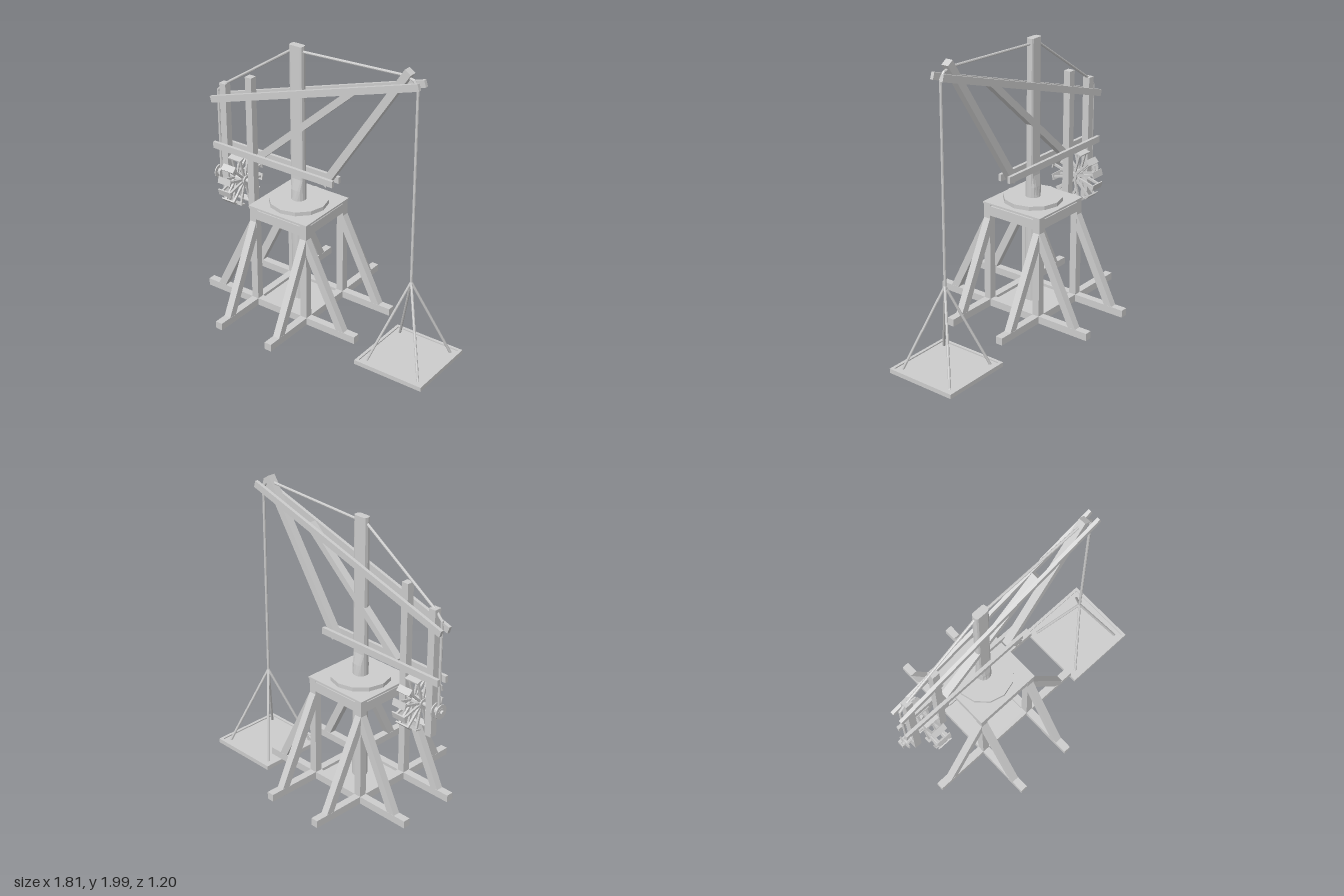
import * as THREE from 'three';

const V = (x, y, z = 0) => new THREE.Vector3(x, y, z);

export function createModel() {
  const root = new THREE.Group();
  root.name = 'mastCrane';
  const mat = new THREE.MeshStandardMaterial({ color: 0xcccccc, flatShading: true });

  const group = (name, parent = root) => {
    const g = new THREE.Group();
    g.name = name;
    parent.add(g);
    return g;
  };
  const add = (name, geo, parent) => {
    const m = new THREE.Mesh(geo, mat);
    m.name = name;
    parent.add(m);
    return m;
  };
  // Box given by its extents
  const block = (name, parent, x0, x1, y0, y1, z0, z1) => {
    const m = add(name, new THREE.BoxGeometry(x1 - x0, y1 - y0, z1 - z0), parent);
    m.position.set((x0 + x1) / 2, (y0 + y1) / 2, (z0 + z1) / 2);
    return m;
  };
  // Square-ended timber between two points lying in a plane of constant z
  const beam = (name, parent, a, b, height, depth) => {
    const d = b.clone().sub(a);
    const m = add(name, new THREE.BoxGeometry(d.length(), height, depth), parent);
    m.position.copy(a).add(b).multiplyScalar(0.5);
    m.rotation.z = Math.atan2(d.y, d.x);
    return m;
  };
  // Round bar between two points
  const rod = (name, parent, a, b, r, sides = 8) => {
    const d = b.clone().sub(a);
    const m = add(name, new THREE.CylinderGeometry(r, r, d.length(), sides), parent);
    m.position.copy(a).add(b).multiplyScalar(0.5);
    m.quaternion.setFromUnitVectors(V(0, 1, 0), d.normalize());
    return m;
  };

  // Trestle base, four-fold symmetric about the mast
  const base = group('base');
  base.position.x = -0.22;
  for (let i = 0; i < 4; i++) {
    const side = group('baseSide', base);
    side.rotation.y = (i * Math.PI) / 2;
    block('groundBeam', side, -0.6, 0.6, 0.13, 0.18, 0.175, 0.225);
    block('cornerPost', side, 0.175, 0.225, 0.13, 0.86, 0.175, 0.225);
    block('topRail', side, -0.224, 0.224, 0.78, 0.845, 0.175, 0.224);
    for (const s of [-1, 1]) {
      beam('diagonalStrut', side, V(s * 0.495, 0.16, 0.2), V(s * 0.2, 0.75, 0.2), 0.052, 0.048);
    }
  }
  block('footPlate', base, -0.18, 0.18, 0.14, 0.16, -0.18, 0.18);
  block('topPlate', base, -0.23, 0.23, 0.855, 0.868, -0.23, 0.23);
  add('turntable', new THREE.CylinderGeometry(0.195, 0.195, 0.03, 12), base).position.y = 0.88;

  // Mast: round below, flattened on two sides where the beams clasp it
  const mastGeo = new THREE.CylinderGeometry(0.05, 0.05, 1.815, 16, 24);
  mastGeo.translate(0, 1.0425, 0);
  const p = mastGeo.attributes.position;
  for (let i = 0; i < p.count; i++) {
    const t = THREE.MathUtils.clamp((p.getY(i) - 0.92) / 0.13, 0, 1);
    const lim = THREE.MathUtils.lerp(0.05, 0.025, t);
    p.setZ(i, THREE.MathUtils.clamp(p.getZ(i), -lim, lim));
  }
  mastGeo.computeVertexNormals();
  add('mast', mastGeo, root).position.x = -0.22;

  // Swinging jib: paired beams clasping the central braces and posts
  const jib = group('jib');
  for (const z of [-0.036, 0.036]) {
    beam('jibBeam', jib, V(-0.895, 1.425, z), V(0.68, 1.915, z), 0.045, 0.022);
    beam('lowerBeam', jib, V(-0.89, 1.1, z), V(0.075, 1.1, z), 0.045, 0.022);
  }
  beam('innerBrace', jib, V(-0.53, 1.102), V(0.22, 1.77), 0.045, 0.05);
  beam('outerBrace', jib, V(-0.012, 1.065), V(0.592, 1.98), 0.05, 0.05);
  block('rearPost', jib, -0.835, -0.785, 0.7, 1.55, -0.025, 0.025);
  block('frontPost', jib, -0.62, -0.57, 0.7, 1.645, -0.025, 0.025);

  // Windlass with a spoked tread wheel and rope drum
  const windlass = group('windlass');
  windlass.position.y = 0.89;
  rod('axle', windlass, V(-0.905, 0), V(-0.57, 0), 0.014, 12);
  rod('wheelHub', windlass, V(-0.75, 0), V(-0.65, 0), 0.032, 12);
  rod('drum', windlass, V(-0.89, 0), V(-0.84, 0), 0.026, 12);
  for (const x of [-0.885, -0.848]) {
    rod('drumFlange', windlass, V(x - 0.004, 0), V(x + 0.004, 0), 0.048, 12);
  }
  for (let i = 0; i < 12; i++) {
    const arm = group('wheelArm', windlass);
    arm.rotation.x = ((i + 0.5) * Math.PI) / 6;
    for (const x of [-0.735, -0.668]) {
      block('spoke', arm, x - 0.007, x + 0.007, 0.02, 0.168, -0.007, 0.007);
    }
    block('tread', arm, -0.753, -0.65, 0.166, 0.175, -0.022, 0.022);
  }

  // Hoisting rope from the drum, over the mast, to the load
  const rope = group('rope');
  const path = [V(-0.867, 0.89), V(-0.867, 1.485), V(-0.82, 1.535), V(-0.26, 1.91),
    V(-0.18, 1.914), V(0.55, 1.947), V(0.62, 1.93), V(0.65, 1.89), V(0.65, 0.575)];
  for (let i = 1; i < path.length; i++) {
    rod('ropeRun', rope, path[i - 1], path[i], 0.009);
    if (i < path.length - 1) {
      add('ropeBend', new THREE.SphereGeometry(0.009, 8, 6), rope).position.copy(path[i]);
    }
  }

  // Hanging load platform with a raised rim
  const platform = group('loadPlatform');
  platform.position.x = 0.65;
  block('deck', platform, -0.24, 0.24, 0.008, 0.022, -0.24, 0.24);
  for (const s of [-1, 1]) {
    block('rimLong', platform, -0.25, 0.25, 0, 0.03, s * 0.24 - 0.01, s * 0.24 + 0.01);
    block('rimShort', platform, s * 0.24 - 0.01, s * 0.24 + 0.01, 0, 0.03, -0.23, 0.23);
    for (const t of [-1, 1]) {
      rod('slingRope', platform, V(0, 0.58, 0), V(s * 0.195, 0.015, t * 0.195), 0.009);
    }
  }
  return root;
}
